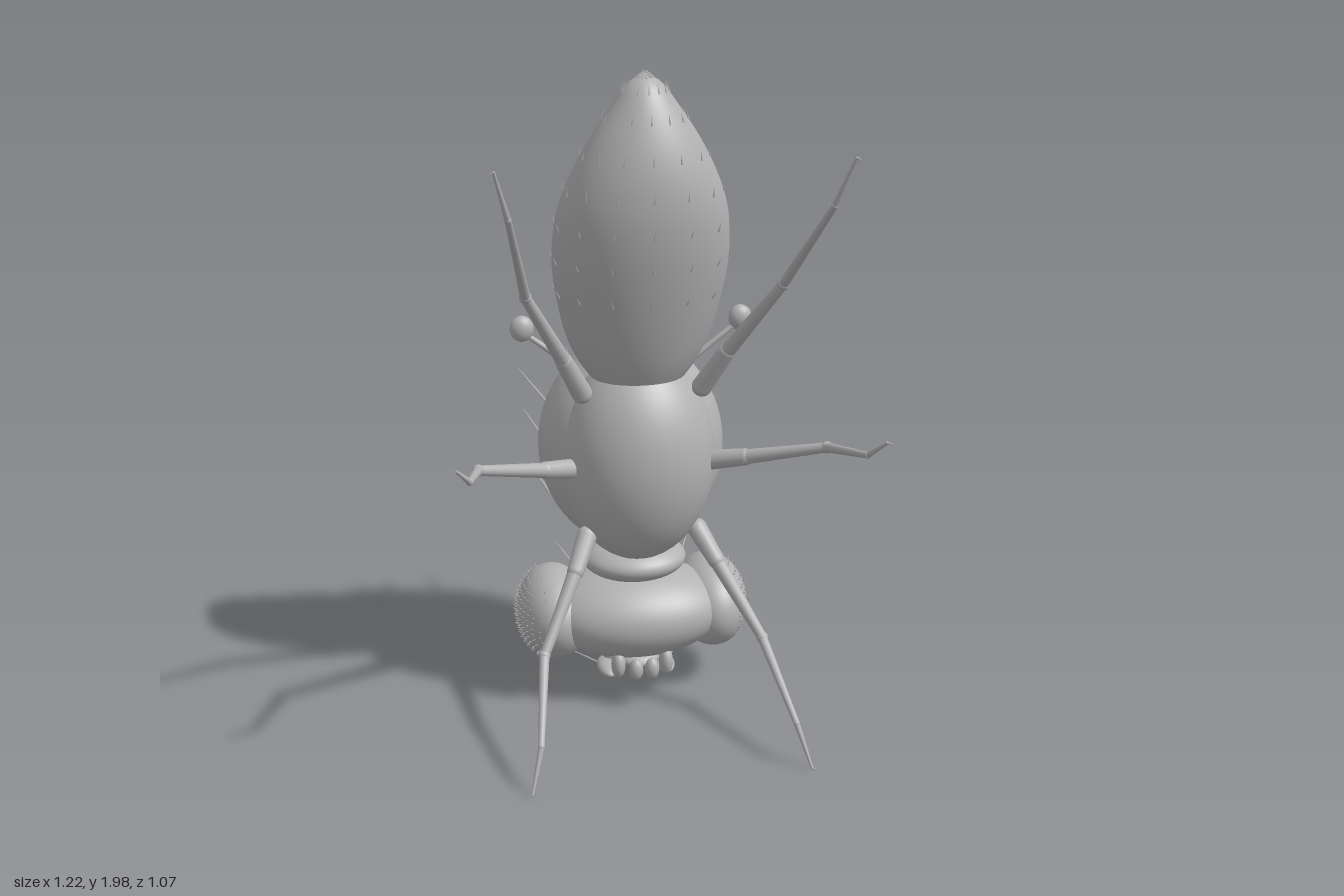
import * as THREE from 'three';
import { mergeGeometries, mergeVertices } from 'three/addons/utils/BufferGeometryUtils.js';

const V = (x, y, z) => new THREE.Vector3(x, y, z);
const UP = V(0, 1, 0);

export function createModel() {
  const root = new THREE.Group();
  root.name = 'fly';
  const grey = new THREE.MeshStandardMaterial({ color: 0xb2b2b2 });
  grey.name = 'body grey';

  const add = (name, geometry, parent = root) => {
    const mesh = new THREE.Mesh(geometry, grey);
    mesh.name = name;
    parent.add(mesh);
    return mesh;
  };
  const ellipsoid = (name, c, r, parent = root, seg = 48) => {
    const g = new THREE.SphereGeometry(1, seg, seg * 0.6);
    g.scale(...r).translate(...c);
    return add(name, g, parent);
  };
  // Tapered rod between two points
  const rod = (a, b, ra, rb, sides = 14) => {
    const d = b.clone().sub(a);
    const g = new THREE.CylinderGeometry(rb, ra, d.length(), sides, 1);
    g.applyQuaternion(new THREE.Quaternion().setFromUnitVectors(UP, d.normalize()));
    const m = a.clone().add(b).multiplyScalar(0.5);
    return g.translate(m.x, m.y, m.z);
  };
  const bristle = (p, dir, length, r = 0.003) =>
    rod(p, p.clone().addScaledVector(dir.clone().normalize(), length), r, 0.0005, 4);

  // Abdomen: y, z centre, half width, half depth
  const rows = [
    [1.05, -0.05, 0.13, 0.12], [1.12, -0.05, 0.18, 0.155], [1.2, -0.045, 0.215, 0.18],
    [1.3, -0.028, 0.24, 0.193], [1.4, -0.008, 0.256, 0.198], [1.5, 0.013, 0.257, 0.197],
    [1.6, 0.035, 0.243, 0.185], [1.7, 0.055, 0.207, 0.16], [1.8, 0.067, 0.155, 0.125],
    [1.9, 0.07, 0.088, 0.08], [1.95, 0.068, 0.05, 0.048], [1.98, 0.066, 0.002, 0.002],
  ];
  const size = new THREE.CatmullRomCurve3(rows.map(([y, , rx, rz]) => V(rx, y, rz)));
  const mid = new THREE.CatmullRomCurve3(rows.map(([y, z]) => V(0, y, z)));
  const abdomenPoint = (t, a) => {
    const s = size.getPoint(t), m = mid.getPoint(t);
    return V(Math.sin(a) * s.x, s.y, m.z + Math.cos(a) * s.z);
  };
  const N = 44, M = 48;
  const abdomen = new THREE.LatheGeometry(
    Array.from({ length: N + 1 }, (_, i) => new THREE.Vector2(1, i / N)), M);
  const pos = abdomen.attributes.position;
  for (let i = 0; i < pos.count; i++) {
    const p = abdomenPoint(pos.getY(i), Math.atan2(pos.getX(i), pos.getZ(i)));
    pos.setXYZ(i, p.x, p.y, p.z);
  }
  abdomen.deleteAttribute('uv');
  abdomen.deleteAttribute('normal');
  const smooth = mergeVertices(abdomen, 1e-5);
  smooth.computeVertexNormals();
  add('abdomen', smooth);

  // Thorax, scutellum, neck and head
  ellipsoid('thoraxBack', [0, 0.805, -0.17], [0.285, 0.33, 0.285]);
  ellipsoid('thoraxFront', [0, 0.805, -0.05], [0.235, 0.33, 0.22]);
  ellipsoid('scutellum', [0, 1.16, -0.255], [0.172, 0.105, 0.102]);
  ellipsoid('neck', [0, 0.445, -0.11], [0.162, 0.062, 0.142]);
  ellipsoid('head', [0, 0.275, -0.1], [0.29, 0.145, 0.2]);
  ellipsoid('mouth', [0, 0.135, -0.05], [0.07, 0.03, 0.08], root, 24);

  const hairs = [], eyeHairs = [];

  for (const s of [1, -1]) {
    const side = s > 0 ? 'left' : 'right';
    const P = (x, y, z) => V(x * s, y, z);

    // Eye with rows of short hairs
    const eyeC = [0.25 * s, 0.265, -0.145], eyeR = [0.116, 0.142, 0.182];
    ellipsoid(side + 'Eye', eyeC, eyeR);
    for (let i = -6; i <= 6; i++) for (let j = -7; j <= 7; j++) {
      const w = i * 0.14, v = j * 0.125, u2 = 1 - w * w - v * v;
      if (u2 < 0.06) continue;
      const n = V(s * Math.sqrt(u2), v, w);
      const p = V(eyeC[0] + n.x * eyeR[0], eyeC[1] + n.y * eyeR[1], eyeC[2] + n.z * eyeR[2]);
      eyeHairs.push(bristle(p, V(n.x, n.y + 0.4, n.z), 0.012, 0.002));
    }

    // Mouthparts and antennae
    const mouth = new THREE.Group();
    mouth.name = side + 'Mouthparts';
    root.add(mouth);
    ellipsoid('innerPalp', [0.025 * s, 0.14, 0.065], [0.022, 0.035, 0.022], mouth, 20);
    ellipsoid('outerPalp', [0.075 * s, 0.145, 0.03], [0.022, 0.045, 0.03], mouth, 20);
    ellipsoid('antennaBase', [0.075 * s, 0.11, -0.12], [0.025, 0.025, 0.03], mouth, 20);
    ellipsoid('antenna', [0.09 * s, 0.085, -0.08], [0.033, 0.02, 0.07], mouth, 20);
    add('antennaBristle', rod(P(0.1, 0.08, -0.1), P(0.2, 0.06, -0.29), 0.004, 0.001, 6), mouth);

    // Haltere
    const haltere = new THREE.Group();
    haltere.name = side + 'Haltere';
    root.add(haltere);
    add('stem', rod(P(0.17, 1.06, -0.14), P(0.325, 1.18, -0.14), 0.01, 0.008), haltere);
    ellipsoid('knob', [0.333 * s, 1.195, -0.14], [0.036, 0.04, 0.027], haltere, 24);

    // Legs: hip, trochanter, knee, ankle, tip
    const legs = {
      HindLeg: [[0.18, 1.04, 0.03], [0.24, 1.16, 0.085], [0.365, 1.4, 0.235], [0.435, 1.68, 0.48], [0.475, 1.82, 0.535]],
      MiddleLeg: [[0.21, 0.805, 0.03], [0.3, 0.83, 0.09], [0.51, 0.9, 0.235], [0.555, 0.965, 0.48], [0.595, 1.02, 0.535]],
      FrontLeg: [[0.17, 0.585, 0.03], [0.215, 0.505, 0.1], [0.33, 0.3, 0.23], [0.375, 0.14, 0.478], [0.41, 0.02, 0.535]],
    };
    const radii = [[0.031, 0.026], [0.023, 0.015], [0.015, 0.009], [0.009, 0.004]];
    for (const [name, list] of Object.entries(legs)) {
      const leg = new THREE.Group();
      leg.name = side + name;
      root.add(leg);
      const pts = list.map((p) => P(...p));
      ['coxa', 'femur', 'tibia', 'tarsus'].forEach((part, i) =>
        add(part, rod(pts[i], pts[i + 1], ...radii[i]), leg));
      [0.031, 0.026, 0.018, 0.01].forEach((r, i) =>
        ellipsoid('joint', pts[i].toArray(), [r, r, r], leg, 16));
      add('claw', rod(pts[4], pts[4].clone().add(P(0.012, -0.008, 0.002)), 0.004, 0.001, 6), leg);
    }

    // Long bristles on scutellum, thorax and head
    const long = [
      [[0.1, 1.22, -0.31], [0.19, 1.4, -0.365]], [[0.1, 0.99, -0.38], [0.14, 1.12, -0.53]],
      [[0.12, 1.02, -0.35], [0.17, 1.13, -0.46]], [[0.25, 0.92, -0.27], [0.33, 1.02, -0.32]],
      [[0.25, 0.78, -0.3], [0.31, 0.87, -0.35]], [[0.25, 0.64, -0.2], [0.3, 0.72, -0.25]],
      [[0.16, 0.36, -0.21], [0.22, 0.42, -0.34]], [[0.2, 0.28, -0.25], [0.25, 0.31, -0.35]],
    ];
    for (const [a, b] of long) hairs.push(rod(P(...a), P(...b), 0.005, 0.0005, 5));
  }

  // Rows of bristles over the back of the thorax
  for (let i = -4; i <= 4; i++) for (let j = -5; j <= 6; j++) {
    const u = i * 0.155, v = j * 0.125, w2 = 1 - u * u - v * v;
    if (w2 < 0.05) continue;
    const n = V(u, v, -Math.sqrt(w2));
    const p = V(n.x * 0.285, 0.805 + n.y * 0.33, -0.17 + n.z * 0.285);
    hairs.push(bristle(p, V(n.x * 0.3, n.y * 0.3 + 0.85, n.z * 0.5), 0.05, 0.003));
  }

  // Short bristles down the abdomen, sloping to the tip
  for (let i = 0; i < 14; i++) for (let j = 0; j < 8; j++) {
    const a = (i / 14) * Math.PI * 2, t = 0.3 + j * 0.094;
    const p = abdomenPoint(t, a), q = abdomenPoint(t + 0.02, a);
    const d = q.sub(p).normalize().add(V(Math.sin(a) * 0.35, 0, Math.cos(a) * 0.35));
    hairs.push(bristle(p, d, 0.028, 0.0028));
  }
  add('bodyBristles', mergeGeometries(hairs));
  add('eyeHairs', mergeGeometries(eyeHairs));
  return root;
}
